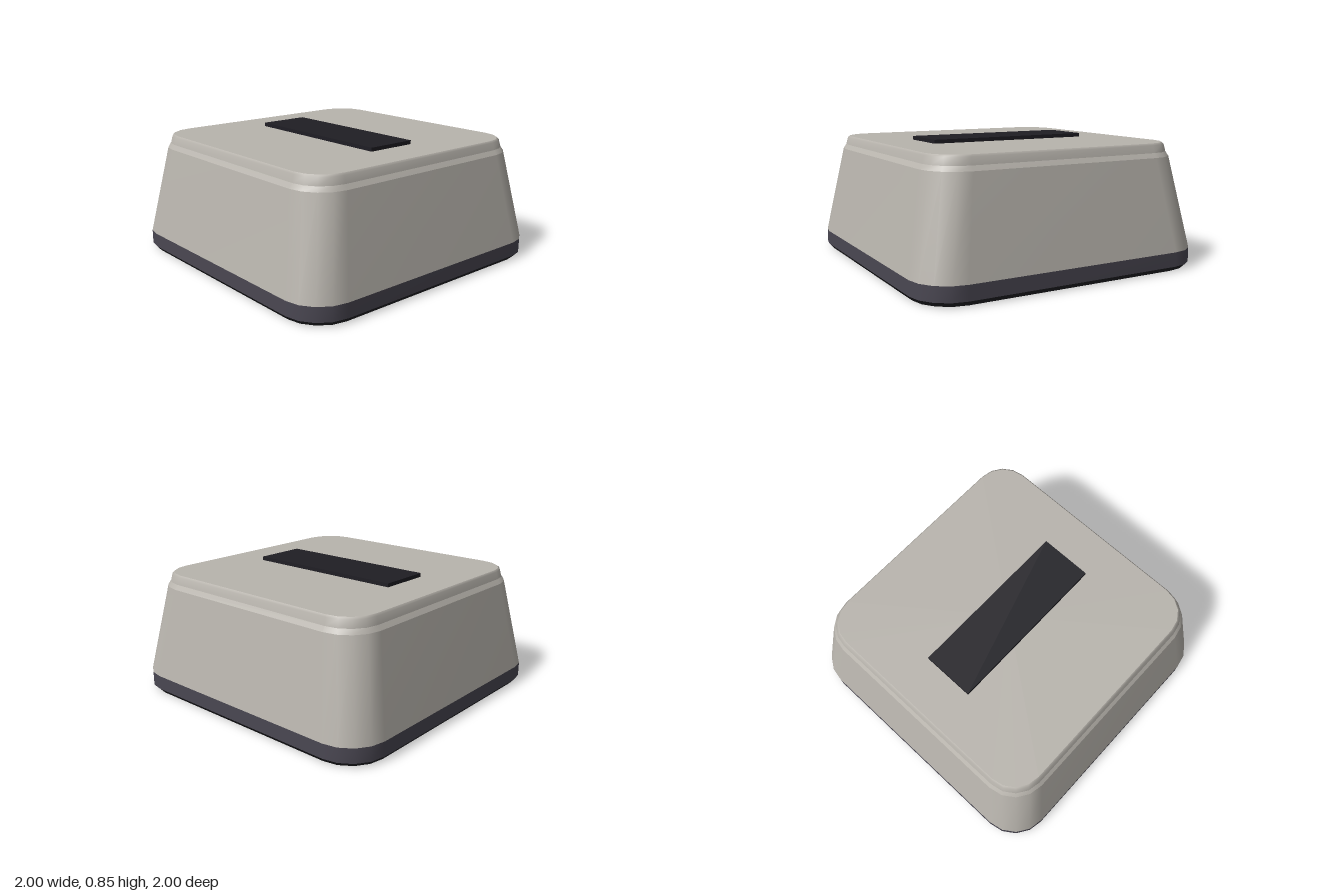
import * as THREE from 'three';

// Rounded-square outline with four segments per corner
function outline(half, radius) {
  const pts = [];
  const c = half - radius;
  [[1, 1], [-1, 1], [-1, -1], [1, -1]].forEach(([sx, sz], q) => {
    for (let i = 0; i <= 4; i++) {
      const a = (q + i / 4) * Math.PI / 2;
      pts.push([sx * c + radius * Math.cos(a), sz * c + radius * Math.sin(a)]);
    }
  });
  return pts;
}

// Smooth wall through rings of [half width, height, corner radius], listed upwards
function wall(rings) {
  const pos = [], index = [], n = 20;
  rings.forEach(([half, y, r]) => outline(half, r).forEach(([x, z]) => pos.push(x, y, z)));
  for (let k = 0; k < rings.length - 1; k++) {
    for (let j = 0; j < n; j++) {
      const a = k * n + j, b = k * n + (j + 1) % n;
      index.push(a, a + n, b, b, a + n, b + n);
    }
  }
  return build(pos, index);
}

// Flat cap facing up or down
function cap([half, y, r], up) {
  const pos = [0, y, 0], index = [], n = 20;
  outline(half, r).forEach(([x, z]) => pos.push(x, y, z));
  for (let j = 0; j < n; j++) {
    const a = 1 + j, b = 1 + (j + 1) % n;
    index.push(0, up ? b : a, up ? a : b);
  }
  return build(pos, index);
}

function build(pos, index) {
  const g = new THREE.BufferGeometry();
  g.setAttribute('position', new THREE.Float32BufferAttribute(pos, 3));
  g.setIndex(index);
  g.computeVertexNormals();
  return g;
}

export function createModel() {
  const model = new THREE.Group();
  const shell = new THREE.MeshStandardMaterial({ color: 0xb8b4ad });
  const trim = new THREE.MeshStandardMaterial({ color: 0x4a4752 });
  const dark = new THREE.MeshStandardMaterial({ color: 0x222226 });
  const black = new THREE.MeshStandardMaterial({ color: 0x1f1e24 });
  const add = (name, geometry, material) => {
    const mesh = new THREE.Mesh(geometry, material);
    mesh.name = name;
    model.add(mesh);
    return mesh;
  };

  // Ring heights from the ground to the top face
  const foot = [0.975, 0, 0.24];
  const footTop = [1, 0.03, 0.25];
  const seam = [1, 0.125, 0.25];
  const shoulder = [0.887, 0.73, 0.23];
  const lipBottom = [0.867, 0.76, 0.21];
  const lipTop = [0.855, 0.808, 0.2];
  const rim = [0.845, 0.82, 0.2];

  // Dark base
  add('underside', cap(foot, false), dark);
  add('footChamfer', wall([foot, footTop]), dark);
  add('baseBand', wall([footTop, seam]), trim);

  // Tapered body with a stepped lip
  add('bodySides', wall([seam, shoulder]), shell);
  add('shoulderStep', wall([shoulder, lipBottom]), shell);
  add('topLip', wall([lipBottom, lipTop, rim]), shell);
  add('topFace', cap(rim, true), shell);

  // Raised bar on top
  add('topBar', new THREE.BoxGeometry(1.13, 0.035, 0.35), black).position.y = 0.8275;

  return model;
}
